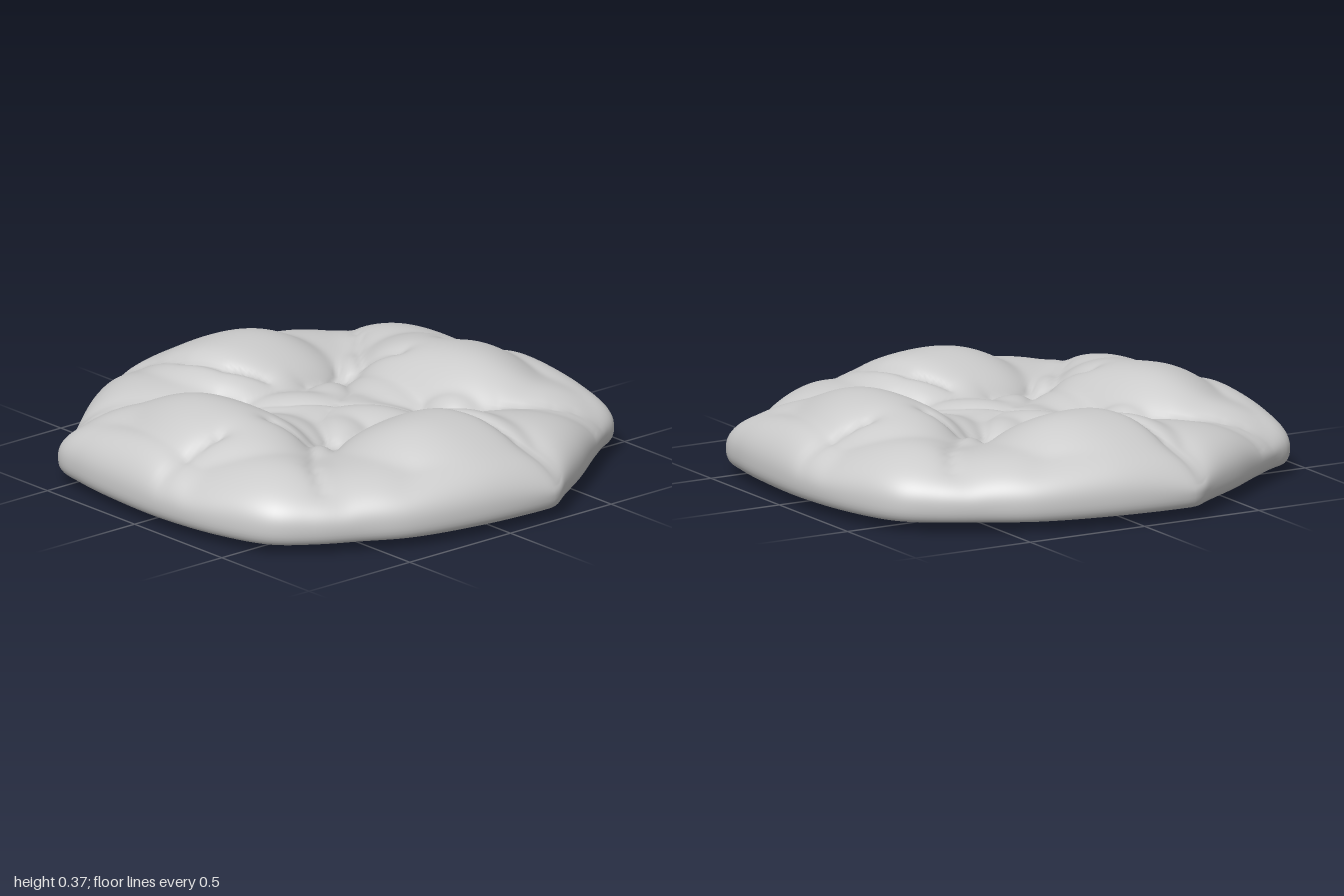
import * as THREE from 'three';
import { mergeVertices } from 'three/addons/utils/BufferGeometryUtils.js';

// Half of the outline (x, z); the other half is the same turned by 180 degrees
const halfOutline = [
  [0.995, -0.2], [0.97, 0.1], [0.9, 0.4], [0.81, 0.57], [0.72, 0.73], [0.61, 0.86],
  [0.4, 0.94], [0.1, 0.98], [-0.2, 0.97], [-0.4, 0.945], [-0.55, 0.905], [-0.61, 0.81],
  [-0.7, 0.68], [-0.81, 0.53], [-0.93, 0.34], [-0.99, 0.25],
];

// Puffy lobes: x, z, radius along, radius across, turn, height above the floor
const lobes = [
  [0.6, 0.0, 0.37, 0.42, 0, 0.158],        // big side lobe
  [0.85, 0.08, 0.22, 0.46, -0.1, 0.1],     // its outer roll
  [0.68, 0.38, 0.36, 0.3, 0.4, 0.08],      // its lower shoulder
  [-0.03, 0.58, 0.5, 0.32, 0, 0.168],      // big end lobe
  [-0.15, 0.88, 0.48, 0.22, 0.05, 0.11],   // its outer roll
  [-0.32, 0.66, 0.34, 0.32, 0.3, 0.095],   // its shoulders
  [0.45, 0.72, 0.42, 0.38, 0.5, 0.095],
  [-0.68, 0.43, 0.46, 0.26, -0.45, 0.085], // wedge between the big lobes
  [-0.28, 0.35, 0.15, 0.1, -0.25, 0.075],  // small folds near the middle
  [-0.4, 0.19, 0.14, 0.07, -0.6, 0.065],
  [0, 0, 0.3, 0.26, -0.7, 0.04],
  [0.15, -0.07, 0.2, 0.15, -0.7, 0.055],
  [0.17, 0.12, 0.15, 0.11, 0.3, 0.05],
  [0.02, 0.29, 0.22, 0.14, 0.1, 0.06],
  [0.35, 0.42, 0.17, 0.1, 0.7, 0.06],
];

// Pinched creases: depth, width, then points (x, z)
const creases = [
  [0.18, 0.04, [0.1, 1.0], [0.09, 0.85], [0.12, 0.68]],
  [0.18, 0.04, [-1.0, 0.28], [-0.8, 0.22], [-0.62, 0.21], [-0.45, 0.16], [-0.33, 0.06]],
  [0.18, 0.04, [-0.62, 0.82], [-0.52, 0.6], [-0.42, 0.45], [-0.36, 0.28]],
  [0.14, 0.035, [0.66, 0.64], [0.5, 0.55], [0.38, 0.44], [0.26, 0.36], [0.27, 0.08]],
  [0.12, 0.03, [0.26, 0.38], [0.13, 0.44]],
  [0.07, 0.03, [0.0, 0.0], [-0.12, 0.14], [-0.28, 0.24]],
  [0.07, 0.03, [0.03, 0.06], [0.08, 0.14], [0.2, 0.22]],
];

function segmentDistance(x, z, a, b) {
  const dx = b[0] - a[0], dz = b[1] - a[1];
  const s = THREE.MathUtils.clamp(((x - a[0]) * dx + (z - a[1]) * dz) / (dx * dx + dz * dz), 0, 1);
  return Math.hypot(x - a[0] - s * dx, z - a[1] - s * dz);
}

// Height of the puffed top before the rim rounds it off
function topHeight(x, z) {
  const floor = 0.21, blend = 0.008;
  let sum = 1, keep = 1;
  for (const m of [1, -1]) {
    const px = x * m, pz = z * m;
    for (const [cx, cz, rx, rz, turn, amp] of lobes) {
      const dx = px - cx, dz = pz - cz, c = Math.cos(turn), s = Math.sin(turn);
      const d2 = ((dx * c + dz * s) / rx) ** 2 + ((dz * c - dx * s) / rz) ** 2;
      if (d2 < 1) sum += Math.exp(amp * Math.pow(1 - d2, 0.75) / blend) - 1;
    }
    for (const [depth, width, ...pts] of creases) {
      let d = Infinity;
      for (let i = 1; i < pts.length; i++) d = Math.min(d, segmentDistance(px, pz, pts[i - 1], pts[i]));
      keep *= 1 - depth * Math.exp(-d / width);
    }
  }
  // Soft dimples that are the same after half a turn
  const dimples = 0.007 * Math.cos(9 * x + 4 * z) * Math.cos(11 * z - 3 * x);
  return 0.1 + (floor + blend * Math.log(sum) + dimples - 0.1) * keep;
}

// Underside: four shallow swells around a slightly raised cross
function underside(t, x, z) {
  const swell = (v, peak) => (v / peak) ** 2 * Math.exp(1 - (v / peak) ** 2);
  return 0.028 + 0.017 * t ** 4 - 0.026 * swell(x, 0.42) * swell(z, 0.36) * (1 - t ** 4);
}

function cushionGeometry() {
  const around = 240, topRows = 80, rimRows = 6, bottomRows = 24;
  const outline = new THREE.CatmullRomCurve3(
    [...halfOutline, ...halfOutline.map(([x, z]) => [-x, -z])].map(([x, z]) => new THREE.Vector3(x, 0, z)),
    true, 'centripetal');
  const edge = outline.getSpacedPoints(around);
  const rows = topRows + rimRows + bottomRows;
  const positions = [], index = [];
  for (let r = 0; r <= rows; r++) {
    for (let i = 0; i < around; i++) {
      const e = edge[i];
      let t, y;
      if (r <= topRows) {
        // Top, rows crowded towards the rounded rim
        t = Math.sin((r / topRows) * Math.PI / 2);
        const h = topHeight(e.x * t, e.z * t);
        y = 0.1 + (h - 0.1) * Math.pow(Math.max(0, 1 - t ** 6), 0.4);
      } else if (r <= topRows + rimRows) {
        // Rim tucking under
        const a = ((r - topRows) / rimRows) * Math.PI / 2;
        t = 0.97 + 0.03 * Math.cos(a);
        y = 0.1 - 0.055 * Math.sin(a);
      } else {
        // Almost flat underside
        const u = 1 - (r - topRows - rimRows) / bottomRows;
        t = 0.97 * u;
        y = underside(u, e.x * t, e.z * t);
      }
      positions.push(e.x * t, y, e.z * t);
      if (r < rows) {
        // Single triangles at the two poles, quads elsewhere
        const a = r * around + i, b = r * around + (i + 1) % around;
        if (r > 0) index.push(a, b, b + around);
        if (r < rows - 1) index.push(a, b + around, a + around);
      }
    }
  }
  let geometry = new THREE.BufferGeometry();
  geometry.setAttribute('position', new THREE.Float32BufferAttribute(positions, 3));
  geometry.setIndex(index);
  geometry = mergeVertices(geometry, 1e-5);
  geometry.computeBoundingBox();
  geometry.translate(0, -geometry.boundingBox.min.y, 0);
  geometry.computeVertexNormals();
  return geometry;
}

export function createModel() {
  const group = new THREE.Group();
  group.name = 'lumpyCushion';
  const cushion = new THREE.Mesh(cushionGeometry(), new THREE.MeshStandardMaterial({ color: 0xcccccc }));
  cushion.name = 'cushionBody';
  group.add(cushion);
  return group;
}
